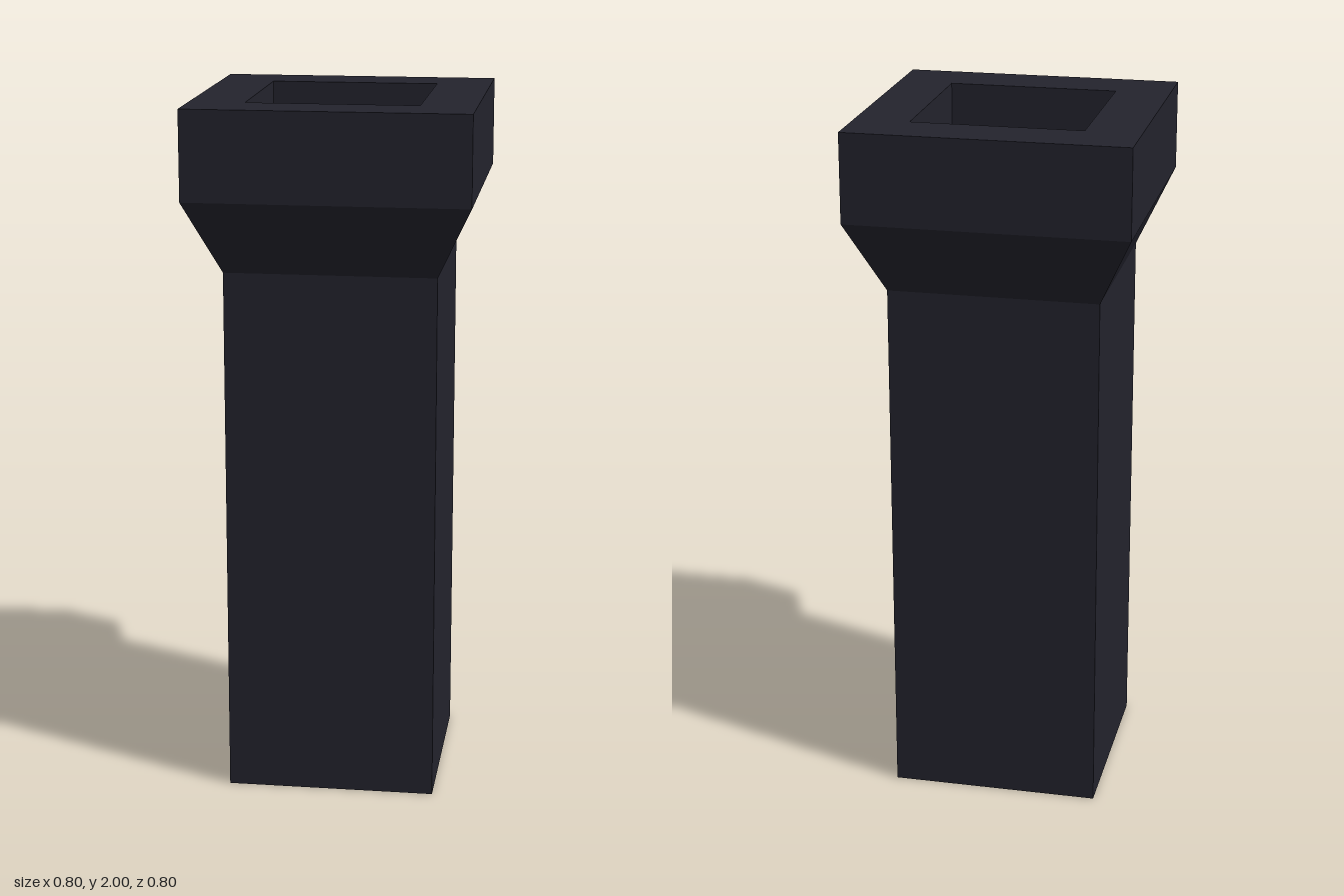
import * as THREE from 'three';

const SHAFT = 0.299, RIM = 0.398, HOLE = 0.2415; // half widths
const FLARE_BOTTOM = 1.535, FLARE_TOP = 1.746, TOP = 2;

export function createModel() {
  const group = new THREE.Group();
  const material = new THREE.MeshStandardMaterial({ color: 0x23232d, side: THREE.DoubleSide });
  material.name = 'dark slate';

  // Square shell swept from a profile of [half width, height] points
  function squareShell(name, profile) {
    const points = profile.map(([half, y]) => new THREE.Vector2(half * Math.SQRT2, y));
    const geometry = new THREE.LatheGeometry(points, 4, Math.PI / 4).toNonIndexed();
    geometry.computeVertexNormals();
    const mesh = new THREE.Mesh(geometry, material);
    mesh.name = name;
    group.add(mesh);
  }

  // Hollow shaft, open at the bottom
  squareShell('shaft', [[SHAFT, 0], [SHAFT, FLARE_BOTTOM]]);
  // Sloped flare under the head
  squareShell('flare', [[SHAFT, FLARE_BOTTOM], [RIM, FLARE_TOP]]);
  // Head with its flat rim and the inner walls of the opening
  squareShell('head', [[RIM, FLARE_TOP], [RIM, TOP], [HOLE, TOP], [HOLE, FLARE_TOP]]);

  // Floor of the opening
  const floor = new THREE.Mesh(new THREE.PlaneGeometry(HOLE * 2, HOLE * 2), material);
  floor.name = 'openingFloor';
  floor.rotation.x = -Math.PI / 2;
  floor.position.y = FLARE_TOP;
  group.add(floor);

  return group;
}
